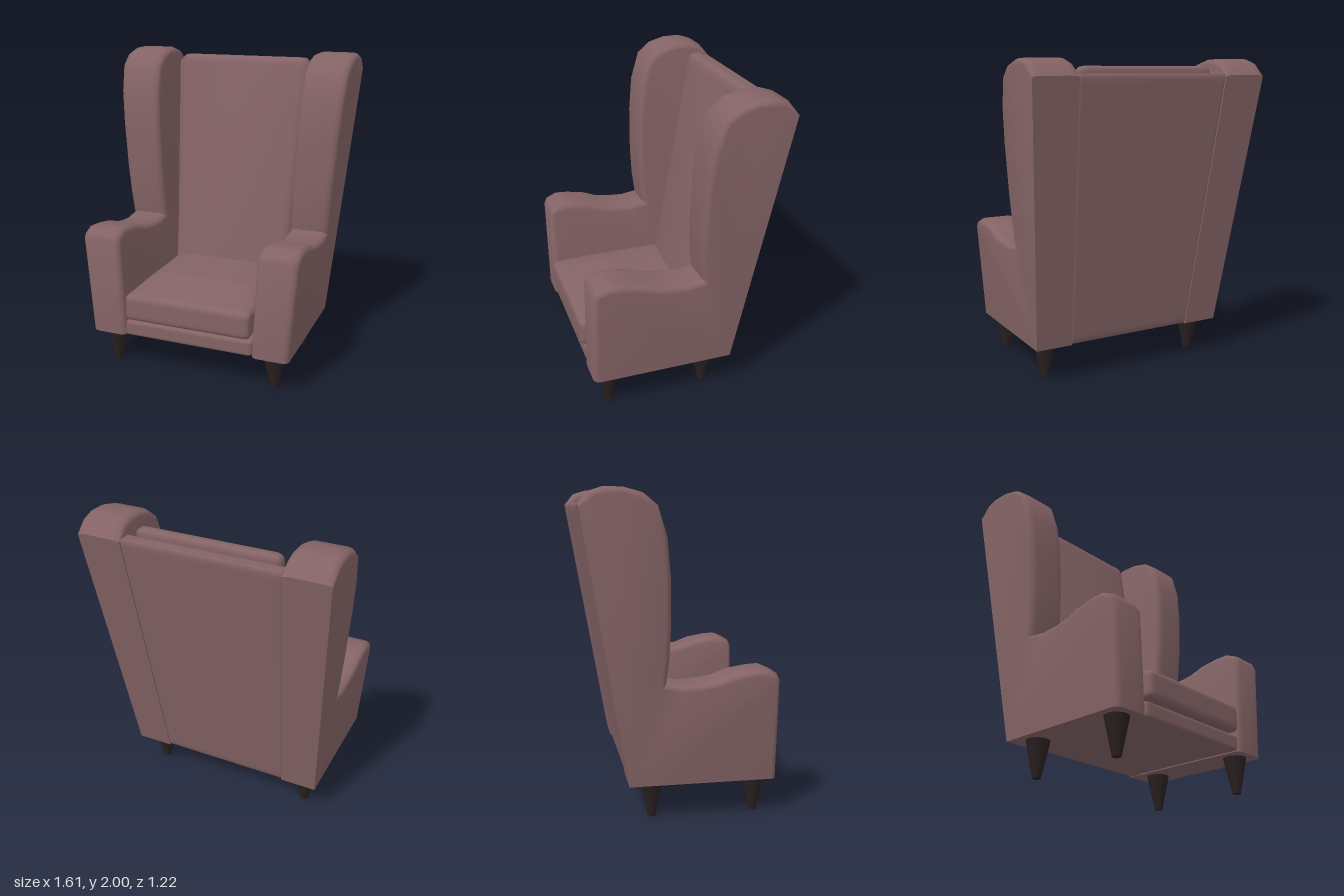
import * as THREE from 'three';
import { mergeVertices, toCreasedNormals } from 'three/addons/utils/BufferGeometryUtils.js';

const fabric = new THREE.MeshStandardMaterial({ name: 'mauve fabric', color: 0x846365 });
const wood = new THREE.MeshStandardMaterial({ name: 'dark wood', color: 0x2b2020 });
const lerp = THREE.MathUtils.lerp;
const clamp = THREE.MathUtils.clamp;

// Line of the raked back, and the flare of the side panels
const backZ = (y) => -0.325 - 0.1707 * (y - 0.23);
const innerX = (y) => 0.43 + 0.047 * (y - 0.23);
const outerX = (y) => 0.67 + 0.0765 * (y - 0.23);

// Moves every vertex by a rule
function warp(geometry, rule) {
  const p = geometry.attributes.position;
  const v = new THREE.Vector3();
  for (let i = 0; i < p.count; i++) {
    rule(v.fromBufferAttribute(p, i));
    p.setXYZ(i, v.x, v.y, v.z);
  }
  return geometry;
}

// Finely divided rounded box, bent by a rule and smoothed
function softBox(name, size, radius, segments, rule) {
  const geometry = new THREE.BoxGeometry(...size, ...segments);
  geometry.deleteAttribute('uv');
  geometry.deleteAttribute('normal');
  const core = new THREE.Vector3(...size).multiplyScalar(0.5).subScalar(radius);
  const minCore = core.clone().negate();
  const q = new THREE.Vector3();
  warp(geometry, (v) => {
    q.copy(v).clamp(minCore, core);
    v.sub(q).setLength(radius).add(q);
    rule(v);
  });
  const merged = mergeVertices(geometry, 1e-5);
  merged.computeVertexNormals();
  const mesh = new THREE.Mesh(merged, fabric);
  mesh.name = name;
  return mesh;
}

// Arm and wing in one panel: side outline as [z, y]
const outline = [
  [0.59, 0.23], [0.59, 0.86], [0.57, 0.9], [0.5, 0.93], [0.42, 0.925], [0.3, 0.905],
  [0.2, 0.867], [0.1, 0.852], [0, 0.845], [-0.105, 0.86], [-0.088, 1.0], [-0.08, 1.2],
  [-0.086, 1.5], [-0.108, 1.72], [-0.165, 1.9], [-0.25, 1.968], [-0.36, 1.998],
  [-0.47, 2.0], [-0.55, 1.975], [-0.61, 1.9], [-0.325, 0.23],
];

function sidePanel(name, side) {
  const width = 0.26, bevel = 0.05;
  const shape = new THREE.Shape(outline.map(([z, y]) => new THREE.Vector2(-z, y)));
  const geometry = new THREE.ExtrudeGeometry(shape, {
    depth: width - 2 * bevel, bevelThickness: bevel, bevelSize: 0.035,
    bevelOffset: -0.035, bevelSegments: 4,
  });
  geometry.translate(0, 0, bevel).rotateY(Math.PI / 2);
  warp(geometry, (v) => {
    // Keep the underside and the rear edges crisp
    if (v.y < 0.3) v.y = 0.23;
    if (v.y < 1.9 && v.z - backZ(v.y) < 0.05) v.z = backZ(v.y);
    const s = v.x / width;
    v.x = side > 0
      ? lerp(innerX(v.y), outerX(v.y), s)
      : lerp(-outerX(v.y), -innerX(v.y), s);
  });
  geometry.deleteAttribute('uv');
  const mesh = new THREE.Mesh(toCreasedNormals(geometry, 0.75), fabric);
  mesh.name = name;
  return mesh;
}

export function createModel() {
  const group = new THREE.Group();
  group.name = 'wingArmchair';

  group.add(sidePanel('leftArmAndWing', 1), sidePanel('rightArmAndWing', -1));

  // Seat frame with the front rail
  group.add(softBox('seatFrame', [0.87, 0.1, 0.89], 0.018, [36, 12, 36], (v) => {
    v.y += 0.281;
    v.z += 0.137;
  }));

  // Seat cushion, crowned toward the back
  group.add(softBox('seatCushion', [0.85, 0.175, 0.86], 0.035, [36, 12, 36], (v) => {
    const crown = 1 - Math.pow(Math.abs(v.x) / 0.425, 4);
    if (v.y > 0) v.y += (v.y / 0.0875) * 0.055 * crown * clamp((0.43 - v.z) / 0.35, 0, 1);
    v.y += 0.4325;
    v.z += 0.178;
  }));

  // Raked outer back, flaring with the side panels
  group.add(softBox('outerBack', [2, 1.68, 0.1], 0.02, [90, 60, 8], (v) => {
    v.y += 1.07;
    v.x *= innerX(v.y) + 0.004;
    v.z += backZ(v.y) + 0.054;
  }));

  // Back cushion, thick at the bottom and bulging forward
  group.add(softBox('backCushion', [0.86, 1.47, 0.12], 0.045, [36, 60, 10], (v) => {
    const t = (v.y + 0.735) / 1.47;
    const u = v.x / 0.43;
    const front = lerp(-0.17, -0.43, t);
    const rear = lerp(-0.31, -0.525, t);
    const f = v.z / 0.12 + 0.5;
    const bulge = 0.06 * (1 - u * u) * (1 - t * t);
    v.z = lerp(rear, front + bulge, f);
    v.x = u * lerp(0.42, 0.465, t);
    v.y += 1.22;
  }));

  // Tapered legs
  const legGeometry = new THREE.CylinderGeometry(0.076, 0.026, 0.24, 16);
  for (const [end, z] of [['front', 0.47], ['rear', -0.175]]) {
    for (const [side, x] of [['Left', 0.55], ['Right', -0.55]]) {
      const leg = new THREE.Mesh(legGeometry, wood);
      leg.name = `${end}${side}Leg`;
      leg.position.set(x, 0.12, z);
      group.add(leg);
    }
  }
  return group;
}
